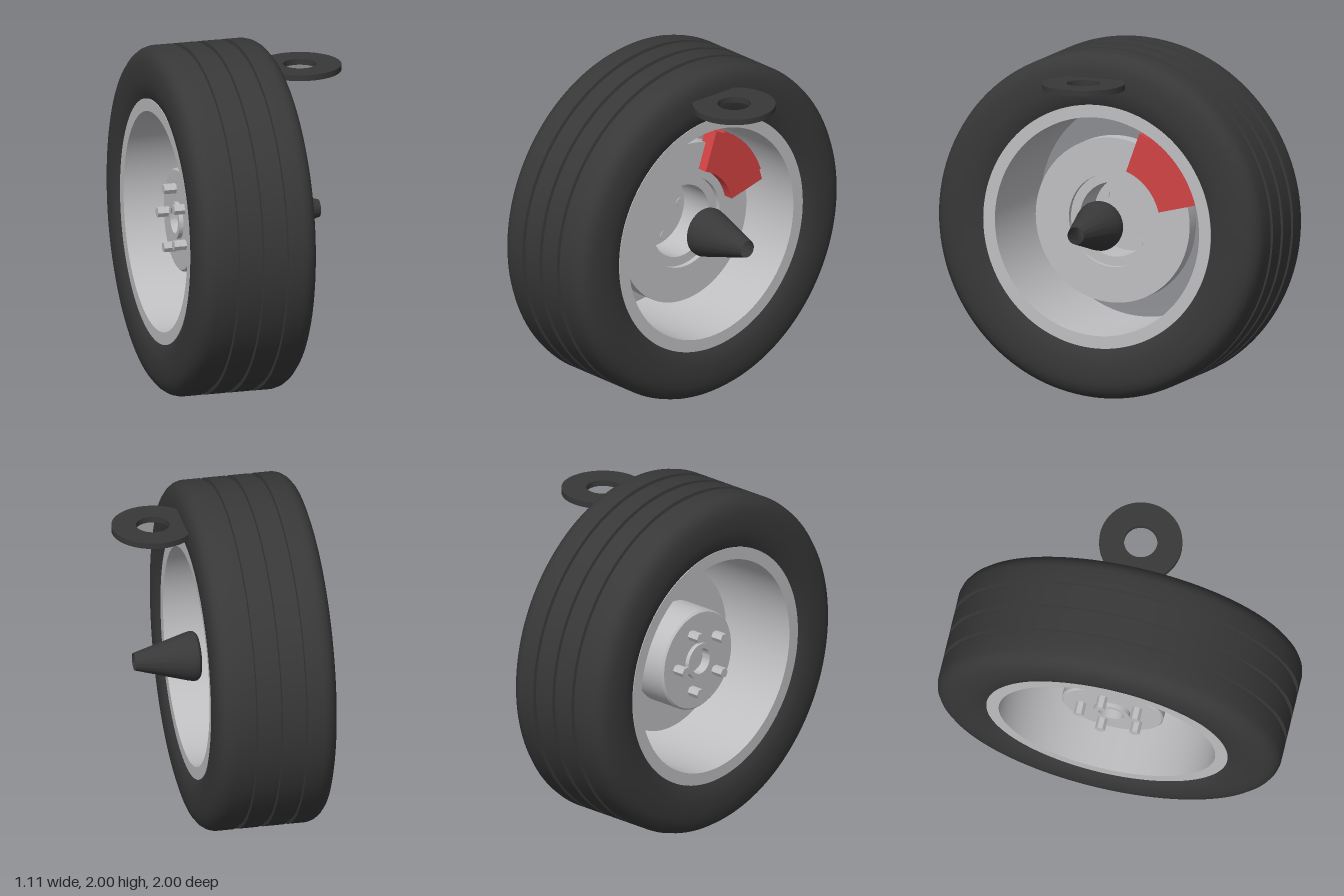
import * as THREE from 'three';
import { toCreasedNormals } from 'three/addons/utils/BufferGeometryUtils.js';

function material(name, color) {
  const m = new THREE.MeshStandardMaterial({ color });
  m.name = name;
  return m;
}

export function createModel() {
  const rubber = material('black rubber', 0x383838);
  const metal = material('light metal', 0xbfbfc2);
  const red = material('caliper red', 0xd24343);
  rubber.side = THREE.DoubleSide;

  const model = new THREE.Group();
  model.name = 'wheelAssembly';
  const wheel = new THREE.Group();
  wheel.name = 'wheel';
  wheel.position.y = 1;
  model.add(wheel);

  function add(name, geometry, mat, parent = wheel) {
    const mesh = new THREE.Mesh(geometry, mat);
    mesh.name = name;
    parent.add(mesh);
    return mesh;
  }

  // Turned part around the x axis; profile points are [radius, x]
  function turned(name, profile, mat, segments = 96, crease = 0.6) {
    const points = profile.map(([r, x]) => new THREE.Vector2(r, x));
    const geometry = toCreasedNormals(new THREE.LatheGeometry(points, segments), crease);
    geometry.rotateZ(-Math.PI / 2);
    return add(name, geometry, mat);
  }

  // Tyre: sidewalls, rounded shoulders and three tread grooves
  const middle = -0.205;
  const side = [[0.7, 0.325], [0.74, 0.345], [0.8, 0.353], [0.86, 0.353], [0.91, 0.347],
    [0.95, 0.335], [0.975, 0.315], [0.992, 0.29], [1, 0.26]];
  const tread = [];
  for (const x of [-0.35, -0.205, -0.06]) {
    tread.push([1, x - 0.016], [0.98, x - 0.013], [0.98, x + 0.013], [1, x + 0.016]);
  }
  turned('tyre', [
    ...side.map(([r, x]) => [r, middle - x]),
    ...tread,
    ...side.slice().reverse().map(([r, x]) => [r, middle + x]),
    [0.7, middle - 0.325],
  ], rubber, 128);

  // Open rim barrel
  turned('rim', [[0.63, -0.535], [0.702, -0.535], [0.702, 0.125], [0.63, 0.125], [0.63, -0.535]], metal, 128);

  // Brake disc
  turned('brakeDisc', [[0.28, -0.19], [0.475, -0.19], [0.475, -0.1], [0.27, -0.1], [0.27, -0.13]], metal);

  // Hub: raised bore ring on the outer face, hollow cup on the inner side
  turned('hub', [
    [0, -0.37], [0.075, -0.37], [0.075, -0.425], [0.105, -0.425], [0.105, -0.4],
    [0.285, -0.4], [0.295, -0.39], [0.295, -0.15], [0.27, -0.13],
    [0.215, -0.13], [0.215, -0.34], [0, -0.34],
  ], metal);

  // Five hexagonal wheel bolts, with round ends inside the cup
  for (let i = 0; i < 5; i++) {
    const a = (i * Math.PI * 2) / 5;
    const bolt = new THREE.Group();
    bolt.name = 'wheelBolt' + (i + 1);
    bolt.position.set(0, Math.sin(a) * 0.18, -Math.cos(a) * 0.18);
    wheel.add(bolt);
    const head = toCreasedNormals(new THREE.CylinderGeometry(0.03, 0.03, 0.075, 6), 0.3);
    add('boltHead', head.rotateZ(-Math.PI / 2), metal, bolt).position.x = -0.435;
    const end = new THREE.CylinderGeometry(0.025, 0.025, 0.02, 20);
    add('boltEnd', end.rotateZ(-Math.PI / 2), metal, bolt).position.x = -0.345;
  }

  // Brake caliper: ring sector with a slightly taller middle
  const rad = THREE.MathUtils.degToRad;
  const sector = new THREE.Shape();
  sector.absarc(0, 0, 0.555, rad(14), rad(20.5), false);
  sector.absarc(0, 0, 0.566, rad(20.5), rad(63.5), false);
  sector.absarc(0, 0, 0.555, rad(63.5), rad(70), false);
  sector.absarc(0, 0, 0.318, rad(70), rad(14), true);
  sector.closePath();
  const caliperShape = new THREE.ExtrudeGeometry(sector, { depth: 0.09, bevelEnabled: false, curveSegments: 16 });
  const caliper = add('brakeCaliper', toCreasedNormals(caliperShape, 0.5), red);
  caliper.rotation.y = Math.PI / 2;
  caliper.position.x = -0.13;

  // Hollow tapered axle boot
  turned('axleBoot', [
    [0.1, 0.055], [0.125, 0.06], [0.14, 0.075], [0.143, 0.095], [0.135, 0.13], [0.05, 0.43],
  ], rubber, 48);

  // Flat ring above the axle
  const ring = new THREE.Shape();
  ring.absarc(0, 0, 0.236, 0, Math.PI * 2, false);
  const hole = new THREE.Path();
  hole.absarc(0, 0, 0.095, 0, Math.PI * 2, true);
  ring.holes.push(hole);
  const ringShape = new THREE.ExtrudeGeometry(ring, { depth: 0.034, bevelEnabled: false, curveSegments: 48 });
  const mount = add('mountRing', toCreasedNormals(ringShape, 0.5), rubber, model);
  mount.rotation.x = -Math.PI / 2;
  mount.position.set(0.319, 1.828, 0);

  return model;
}
